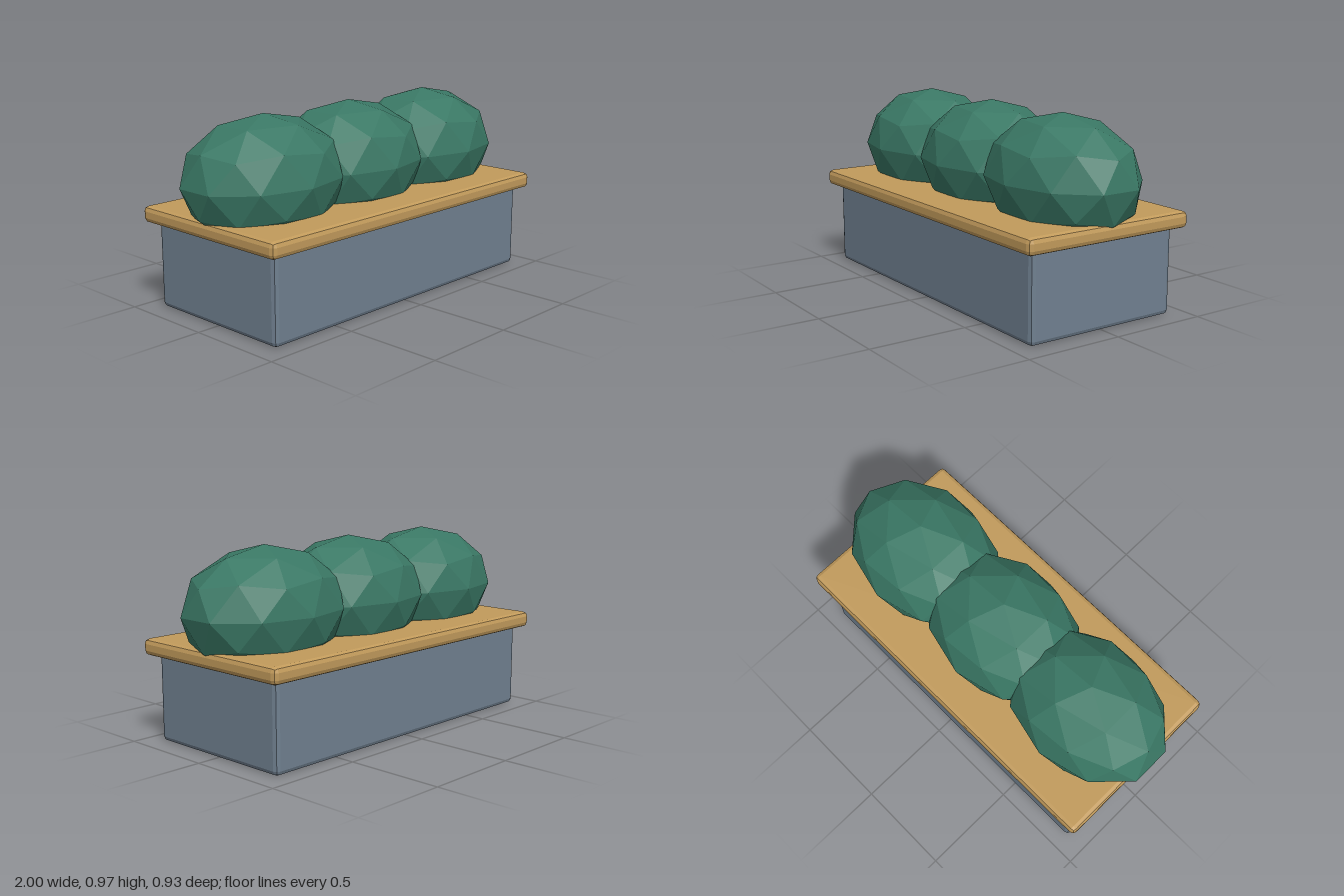
import * as THREE from 'three';
import { RoundedBoxGeometry } from 'three/addons/geometries/RoundedBoxGeometry.js';

const material = (color) => new THREE.MeshStandardMaterial({ color, flatShading: true });

// Box with softly bevelled edges, standing from y0 to y1
function bevelledBox(name, width, depth, y0, y1, bevel, color) {
  const geometry = new RoundedBoxGeometry(width, y1 - y0, depth, 1, bevel);
  const mesh = new THREE.Mesh(geometry, material(color));
  mesh.name = name;
  mesh.position.y = (y0 + y1) / 2;
  return mesh;
}

export function createModel() {
  const group = new THREE.Group();
  group.name = 'planter';

  // Stone trough and the wooden slab on top
  group.add(bevelledBox('trough', 1.79, 0.826, 0, 0.46, 0.024, 0x708090));
  group.add(bevelledBox('slab', 1.9, 0.934, 0.43, 0.513, 0.025, 0xc19a5b));

  // Faceted shrubs: a subdivided icosahedron turned so a corner points up
  const shrubGeometry = new THREE.IcosahedronGeometry(1, 1);
  shrubGeometry.rotateZ(-Math.atan(2 / (1 + Math.sqrt(5))));
  shrubGeometry.scale(0.445, 0.31, 0.333);
  const leaves = material(0x3a7865);
  ['rightShrub', 'middleShrub', 'leftShrub'].forEach((name, i) => {
    const shrub = new THREE.Mesh(shrubGeometry, leaves);
    shrub.name = name;
    shrub.position.set((i - 1) * 0.577, 0.665, 0);
    group.add(shrub);
  });

  return group;
}
